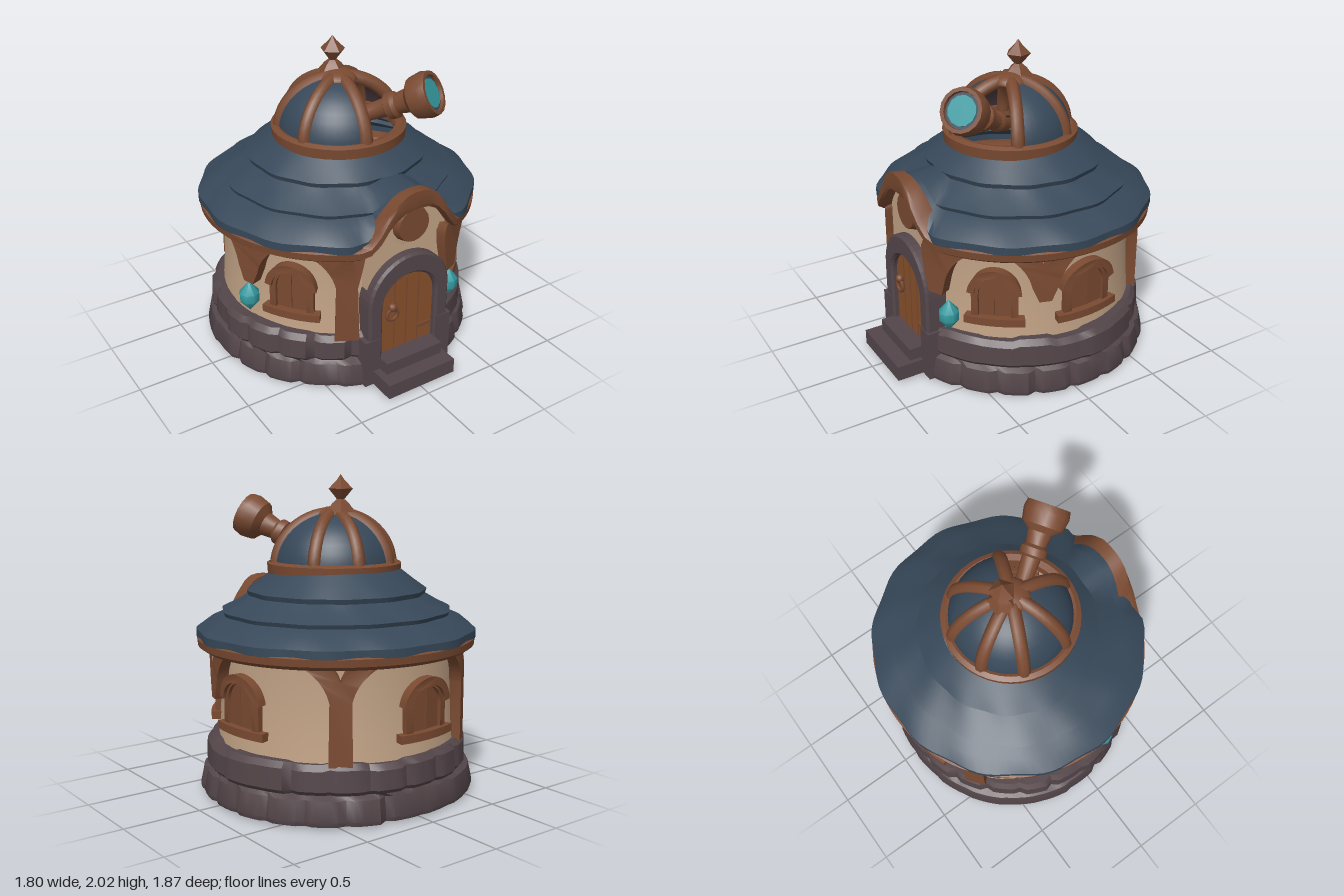
import * as THREE from 'three';
import { toCreasedNormals } from 'three/addons/utils/BufferGeometryUtils.js';

const mat = (name, color, side = THREE.DoubleSide) =>
  Object.assign(new THREE.MeshStandardMaterial({ color, side }), { name });
const deg = THREE.MathUtils.degToRad;
const V2 = (pts) => pts.map(([x, y]) => new THREE.Vector2(x, y));

// Small seeded noise, 0..1
const noise = (n) => { const s = Math.sin(n * 127.1 + 3.7) * 43758.5; return s - Math.floor(s); };

// Rise of the eave over the doorway
const GABLE_X = 0.03;
function bump(x) {
  const u = Math.abs(x - GABLE_X) / 0.36;
  return u < 1 ? 0.27 * Math.cos(u ** 1.4 * Math.PI / 2) ** 2 : 0;
}

function reshape(geo, rule, crease = 0.7) {
  const p = geo.attributes.position, v = new THREE.Vector3();
  for (let i = 0; i < p.count; i++) {
    rule(v.fromBufferAttribute(p, i));
    p.setXYZ(i, v.x, v.y, v.z);
  }
  geo.computeVertexNormals();
  return toCreasedNormals(geo, crease);
}

// Wraps a flat part around the round wall at an azimuth measured from +z
function wrap(geo, azimuth, R = 0.75, widthScale = 1) {
  return reshape(geo, (v) => {
    const a = deg(azimuth) + v.x * widthScale / R, r = R + v.z;
    v.set(r * Math.sin(a), v.y, r * Math.cos(a));
  });
}

// Arched outline: straight sides with a half-round top
function arch(Type, hw, y0, spring, x = 0, rise = hw) {
  const s = new Type();
  s.moveTo(x - hw, y0);
  s.lineTo(x + hw, y0);
  s.lineTo(x + hw, spring);
  s.absellipse(x, spring, hw, rise, 0, Math.PI, false, 0);
  s.lineTo(x - hw, y0);
  return s;
}

function extrude(shape, depth, z = 0, bevel = 0) {
  return new THREE.ExtrudeGeometry(shape, { depth, curveSegments: 10, bevelEnabled: bevel > 0,
    bevelSize: bevel, bevelThickness: bevel, bevelSegments: 1 }).translate(0, 0, z);
}

export function createModel() {
  const stone = mat('stone', 0x54464a), wood = mat('wood', 0x7a4a31), doorWood = mat('door wood', 0x89512b);
  const plaster = mat('plaster', 0xc2a386), blue = mat('roof blue', 0x374859), teal = mat('teal', 0x359ba1);
  const lining = mat('dome lining', 0x3d2f33, THREE.BackSide);
  const model = new THREE.Group(), house = new THREE.Group();
  model.name = 'observatory';
  house.name = 'house';
  house.position.z = -0.07;
  model.add(house);
  const add = (name, geo, material, parent = house) => {
    const m = new THREE.Mesh(geo, material);
    m.name = name;
    parent.add(m);
    return m;
  };
  const box = (name, w, h, d, x, y, z, material) =>
    add(name, new THREE.BoxGeometry(w, h, d).translate(x, y, z), material);

  // Stone base: a ring with two staggered rows of blocks, open at the door
  const base = new THREE.LatheGeometry(V2([[0.77, 0], [0.87, 0], [0.88, 0.03], [0.855, 0.15], [0.825, 0.17],
    [0.845, 0.195], [0.84, 0.32], [0.81, 0.355], [0.74, 0.35]]), 100, deg(18), deg(324));
  add('stoneBase', reshape(base, (v) => {
    const a = Math.atan2(v.x, v.z) + Math.PI, row = v.y > 0.17 ? 1 : 0;
    const t = a / (2 * Math.PI) * 22 + row * 0.5, block = Math.floor(t), f = t - block;
    const outer = Math.hypot(v.x, v.z) > 0.8;
    const k = outer ? 0.99 + 0.03 * noise(block + row * 40) - (f < 0.14 ? 0.025 : 0) : 1;
    v.x *= k * 1.015; v.z *= k * 0.965;
    if (v.y > 0.3) v.y += 0.02 * (noise(block + 90) - 0.5);
  }, 0.6), stone);

  // Plaster wall and the raised front under the gable
  add('wall', new THREE.LatheGeometry(V2([[0.77, 0.33], [0.755, 0.5], [0.745, 0.75], [0.76, 0.97]]), 64, Math.PI), plaster);
  const front = new THREE.Shape();
  front.moveTo(-0.26, 0.35);
  front.lineTo(0.31, 0.35);
  for (let i = 0; i <= 20; i++) {
    const x = 0.31 - 0.57 * i / 20;
    front.lineTo(x, 0.95 + bump(x));
  }
  add('gableWall', extrude(front, 0.075, 0.68), plaster);
  const disc = add('gableDisc', new THREE.CylinderGeometry(0.11, 0.125, 0.05, 16), wood);
  disc.rotation.x = Math.PI / 2;
  disc.position.set(0.04, 1.05, 0.78);

  // Tiered roof, lifted over the doorway
  const roof = new THREE.LatheGeometry(V2([[0.85, 0.975], [0.885, 0.985], [0.885, 1.035], [0.8, 1.095], [0.72, 1.13],
    [0.73, 1.155], [0.64, 1.2], [0.56, 1.25], [0.57, 1.28], [0.49, 1.34], [0.4, 1.41]]), 96, Math.PI);
  add('roof', reshape(roof, (v) => {
    const a = Math.atan2(v.x, v.z), r = Math.hypot(v.x, v.z);
    if (r > 0.5) {
      const k = 1 + 0.01 * Math.sin(13 * a + Math.round(v.y * 7) * 2);
      v.x *= k * 1.012; v.z *= k * (v.z < 0 ? 0.975 : 1);
    }
    const b = v.z > 0 ? bump(v.x) * 0.95 : 0;
    if (b > 0) v.y = Math.max(v.y, 1 + b + (v.y - 1) * 0.08);
    v.z = Math.min(v.z, 0.8);
  }, 0.6), blue);
  const eave = new THREE.LatheGeometry(V2([[0.77, 0.97], [0.8, 0.93], [0.85, 0.915], [0.885, 0.94], [0.89, 0.985],
    [0.86, 1.005], [0.77, 0.995]]), 96, Math.PI);
  add('eave', reshape(eave, (v) => {
    const b = v.z > 0 ? bump(v.x) : 0;
    v.y += b * (v.y > 0.96 ? 1.1 : 1.0);
    v.x *= 1.01;
    v.z = Math.min(v.z * (v.z < 0 ? 0.975 : 1), 0.855);
  }), wood);

  // Door, its stone arch and the steps
  add('door', extrude(arch(THREE.Shape, 0.21, 0.1, 0.53, 0.02), 0.2, 0.58), doorWood);
  for (const x of [-0.07, 0.02, 0.11]) box('plankGap', 0.006, 0.5, 0.006, x, 0.43, 0.781, wood);
  box('hinge', 0.1, 0.025, 0.008, 0.16, 0.28, 0.784, wood);
  const surround = arch(THREE.Shape, 0.285, 0, 0.56, 0.02);
  surround.holes.push(arch(THREE.Path, 0.215, 0.01, 0.53, 0.02, 0.205));
  add('doorArch', extrude(surround, 0.12, 0.685, 0.015), stone);
  add('doorRing', new THREE.TorusGeometry(0.04, 0.012, 6, 14).translate(-0.1, 0.46, 0.8), wood);
  add('doorKnob', new THREE.SphereGeometry(0.028, 10, 8).translate(-0.1, 0.51, 0.8), wood);
  for (const x of [-0.255, 0.285]) box('archFoot', 0.11, 0.33, 0.13, x, 0.165, 0.76, stone);
  box('upperStep', 0.42, 0.18, 0.2, 0.01, 0.09, 0.8, stone);
  box('lowerStep', 0.5, 0.1, 0.24, 0, 0.05, 0.88, stone);

  // Arched shuttered windows: azimuth, relative width
  for (const [az, w] of [[-53, 0.84], [50, 0.84], [94, 1], [186, 1]]) {
    const win = new THREE.Group();
    win.name = 'window';
    house.add(win);
    const piece = (name, geo) => add(name, wrap(geo, az, 0.75, w), wood, win);
    const frame = arch(THREE.Shape, 0.165, 0.47, 0.66);
    frame.holes.push(arch(THREE.Path, 0.115, 0.49, 0.64, 0, 0.125));
    piece('windowFrame', extrude(frame, 0.06, -0.02));
    for (const s of [-1, 1])
      piece('shutter', new THREE.BoxGeometry(0.115, 0.27, 0.04).translate(s * 0.06, 0.62, 0));
    piece('shutterTop', extrude(arch(THREE.Shape, 0.12, 0.6, 0.645), 0.035, -0.02));
    const hood = new THREE.Shape();
    hood.absarc(0, 0.635, 0.19, deg(8), deg(172), false);
    hood.absarc(0, 0.635, 0.14, deg(172), deg(8), true);
    piece('windowHood', extrude(hood, 0.07, -0.01));
    piece('windowSill', new THREE.BoxGeometry(0.42, 0.05, 0.1, 6).translate(0, 0.475, 0.015));
  }

  // Posts with braces flaring up to the eave: spread is the reach to each side
  const post = (az, R, y0, hw, foot, left = 0.22, right = 0.22) => {
    const s = new THREE.Shape();
    s.moveTo(-foot, y0);
    s.lineTo(foot, y0);
    s.lineTo(hw, 0.72);
    s.quadraticCurveTo(hw + 0.03, 0.86, right, 0.93);
    s.lineTo(right - 0.02, 0.98);
    s.lineTo(right * 0.45, 0.97);
    s.quadraticCurveTo(0.03, 0.93, 0, 0.84 + 0.1 * (left !== right));
    s.quadraticCurveTo(-0.03, 0.93, -left * 0.45, 0.97);
    s.lineTo(0.02 - left, 0.98);
    s.lineTo(-left, 0.93);
    s.quadraticCurveTo(-hw - 0.03, 0.86, -hw, 0.72);
    add('post', wrap(extrude(s, 0.08, -0.01), az, R), wood);
  };
  for (const az of [144, 218]) post(az, 0.75, 0.34, 0.06, 0.065);
  for (const az of [72, -74]) post(az, 0.75, 0.62, 0.075, 0.035);
  post(-28, 0.775, 0.34, 0.06, 0.07, 0.2, 0.1);
  post(25, 0.79, 0.63, 0.065, 0.045, 0.09, 0.2);

  // Hanging crystals
  for (const [az, y] of [[29.5, 0.475], [-74, 0.52]]) {
    const crystal = new THREE.LatheGeometry(V2([[0, -0.105], [0.064, -0.025], [0.064, 0.03], [0, 0.105]]), 8);
    crystal.translate(0.815 * Math.sin(deg(az)), y, 0.815 * Math.cos(deg(az)));
    add('crystal', toCreasedNormals(crystal, 0.9), teal);
  }

  // Ribbed dome with one open bay and a dark lining
  const dome = new THREE.Group();
  dome.name = 'dome';
  dome.position.set(0, 1.42, 0.03);
  house.add(dome);
  const ribs = [-6, 66, 124, 166, 206, 246, 294, 354];
  for (let i = 0; i < 7; i++) {
    const a = deg(ribs[i]), span = deg(ribs[i + 1]) - a;
    if (i > 0) {
      const bay = (r, h) => new THREE.SphereGeometry(1, 8, 10, a + Math.PI / 2, span, 0, Math.PI / 2).scale(r, h, r);
      add('domePanel', bay(0.385, 0.345), blue, dome);
      add('domeLining', bay(0.375, 0.335), lining, dome);
    }
    const pts = [];
    for (let k = 0; k <= 8; k++) {
      const t = k / 8 * Math.PI * 0.47, r = 0.375 * Math.cos(t);
      pts.push(new THREE.Vector3(r * Math.sin(a), 0.335 * Math.sin(t), r * Math.cos(a)));
    }
    add('domeRib', new THREE.TubeGeometry(new THREE.CatmullRomCurve3(pts), 12, 0.043, 8), wood, dome);
  }
  add('domeCap', new THREE.SphereGeometry(0.12, 16, 8, 0, Math.PI * 2, 0, Math.PI / 2).scale(1, 0.5, 1)
    .translate(0, 0.32, 0), wood, dome);
  add('domeRing', toCreasedNormals(new THREE.LatheGeometry(V2([[0.36, -0.04], [0.425, -0.04], [0.43, 0.025],
    [0.4, 0.04], [0.36, 0.03], [0.36, -0.04]]), 40), 0.6), wood, dome);

  // Finial
  const finial = new THREE.LatheGeometry(V2([[0.1, 1.765], [0.07, 1.8], [0.055, 1.82], [0.025, 1.845],
    [0.08, 1.91], [0.025, 1.965], [0, 2]]), 5);
  add('finial', toCreasedNormals(finial, 0.4), wood).position.set(-0.005, 0, -0.03);

  // Telescope pointing out through the open bay
  const scope = new THREE.Group();
  scope.name = 'telescope';
  scope.position.set(0.03, 1.475, 0.085);
  scope.quaternion.setFromUnitVectors(new THREE.Vector3(0, 1, 0), new THREE.Vector3(0.3, 0.27, 0.47).normalize());
  house.add(scope);
  add('telescopeTube', toCreasedNormals(new THREE.LatheGeometry(V2([[0, 0], [0.045, 0], [0.045, 0.1], [0.065, 0.11],
    [0.065, 0.14], [0.052, 0.16], [0.06, 0.3], [0.085, 0.315], [0.085, 0.36], [0.065, 0.38], [0.078, 0.46],
    [0.13, 0.5], [0.145, 0.58], [0.135, 0.63], [0.112, 0.63], [0.105, 0.59]]), 16), 0.7), wood, scope);
  add('lensEdge', new THREE.CylinderGeometry(0.11, 0.11, 0.008, 16).translate(0, 0.606, 0), blue, scope);
  add('lens', new THREE.CylinderGeometry(0.092, 0.092, 0.008, 12).translate(0, 0.613, 0), teal, scope);
  return model;
}
